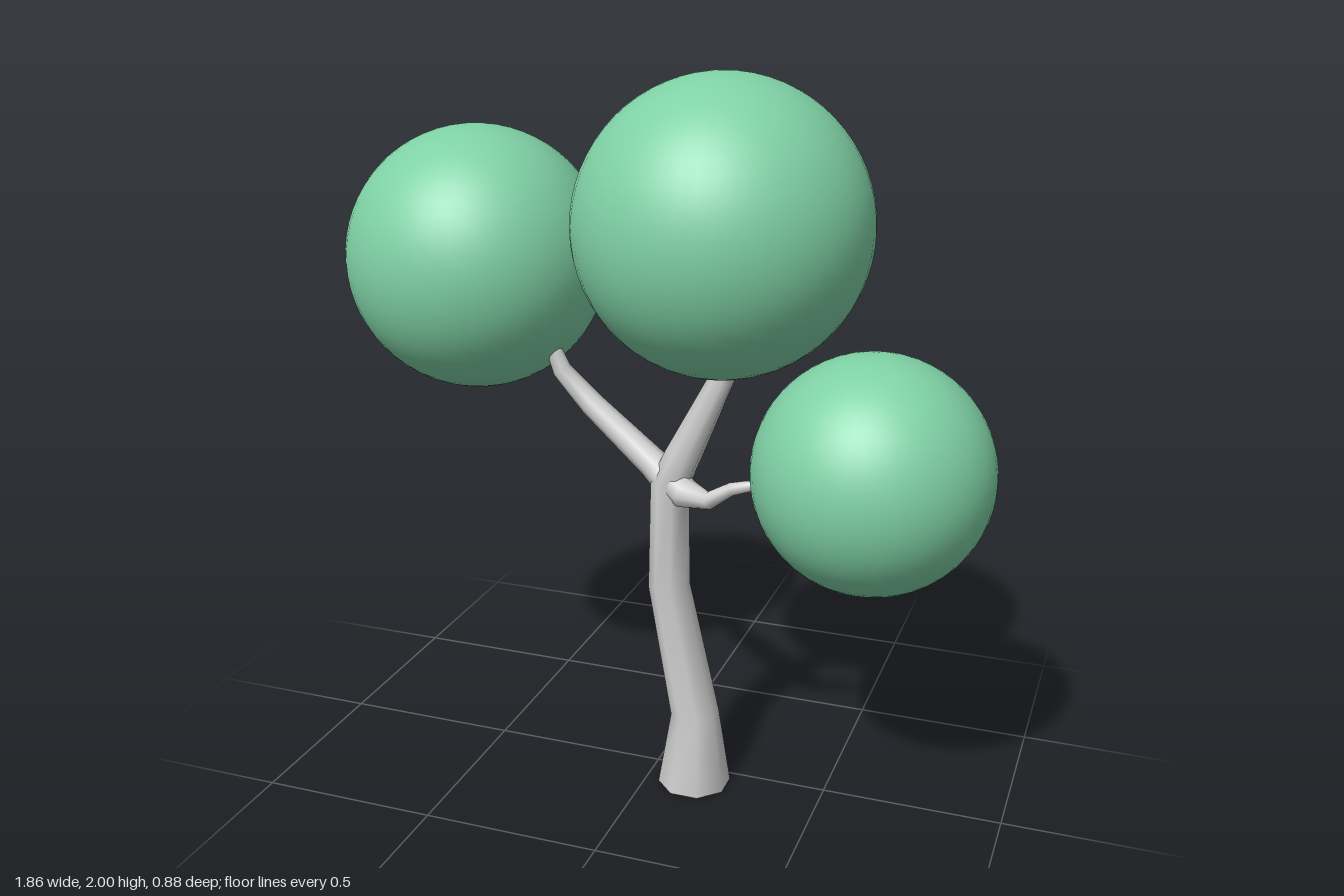
import * as THREE from 'three';
import { toCreasedNormals } from 'three/addons/utils/BufferGeometryUtils.js';

const SIDES = 8;

// Tapered limb swept through points [x, y, z, radius], closed at both ends
function limbGeometry(path) {
  const points = path.map(([x, y, z]) => new THREE.Vector3(x, y, z));
  const last = points.length - 1;
  const positions = [];
  const index = [];
  const up = new THREE.Vector3(0, 1, 0);

  points.forEach((p, i) => {
    const tangent = new THREE.Vector3();
    if (i > 0) tangent.add(p.clone().sub(points[i - 1]).normalize());
    if (i < last) tangent.add(points[i + 1].clone().sub(p).normalize());
    const turn = new THREE.Quaternion().setFromUnitVectors(up, tangent.normalize());
    for (let s = 0; s < SIDES; s++) {
      const a = ((s + 0.5) / SIDES) * Math.PI * 2;
      const v = new THREE.Vector3(Math.sin(a), 0, Math.cos(a));
      v.multiplyScalar(path[i][3]).applyQuaternion(turn).add(p);
      positions.push(v.x, v.y, v.z);
    }
  });
  const start = positions.length / 3;
  for (const p of [points[0], points[last]]) positions.push(p.x, p.y, p.z);

  for (let s = 0; s < SIDES; s++) {
    const n = (s + 1) % SIDES;
    for (let i = 0; i < last; i++) {
      const a = i * SIDES + s, b = i * SIDES + n;
      index.push(a, b, b + SIDES, a, b + SIDES, a + SIDES);
    }
    index.push(start, n, s, start + 1, last * SIDES + s, last * SIDES + n);
  }
  const geometry = new THREE.BufferGeometry();
  geometry.setAttribute('position', new THREE.Float32BufferAttribute(positions, 3));
  geometry.setIndex(index);
  return toCreasedNormals(geometry, 1.0);
}

export function createModel() {
  const tree = new THREE.Group();
  tree.name = 'tree';
  const bark = new THREE.MeshStandardMaterial({ color: 0xcccccc });
  const leaves = new THREE.MeshStandardMaterial({ color: 0x7fd1a5 });

  // Trunk with a flared foot, leaning over into the top limb
  const limbs = {
    trunk: [
      [0.135, 0, 0.07, 0.103], [0.135, 0.22, 0.07, 0.068], [0.055, 0.6, 0.065, 0.058],
      [0.055, 0.9, 0.06, 0.054], [0.09, 0.98, 0.055, 0.05], [0.19, 1.2, 0.04, 0.035],
      [0.2, 1.32, 0.04, 0.025],
    ],
    // Side branches
    rightBranch: [
      [0.07, 0.89, 0.06, 0.05], [0.0, 0.945, 0.045, 0.042], [-0.2, 1.08, -0.005, 0.034],
      [-0.285, 1.17, 0.0, 0.027], [-0.315, 1.25, 0.005, 0.02],
    ],
    leftBranch: [
      [0.05, 0.91, 0.05, 0.05], [0.11, 0.885, 0.09, 0.042], [0.185, 0.885, 0.12, 0.024],
      [0.25, 0.93, 0.13, 0.018], [0.31, 0.945, 0.12, 0.015], [0.38, 0.96, 0.1, 0.012],
    ],
  };
  for (const [name, path] of Object.entries(limbs)) {
    const mesh = new THREE.Mesh(limbGeometry(path), bark);
    mesh.name = name;
    tree.add(mesh);
  }

  // Round leaf crowns: x, y, z, radius
  const crowns = {
    topCrown: [0.19, 1.608, 0.045, 0.392],
    rightCrown: [-0.566, 1.455, -0.075, 0.368],
    leftCrown: [0.608, 0.988, 0.046, 0.32],
  };
  for (const [name, [x, y, z, r]] of Object.entries(crowns)) {
    const mesh = new THREE.Mesh(new THREE.SphereGeometry(r, 48, 32), leaves);
    mesh.name = name;
    mesh.position.set(x, y, z);
    tree.add(mesh);
  }
  return tree;
}
